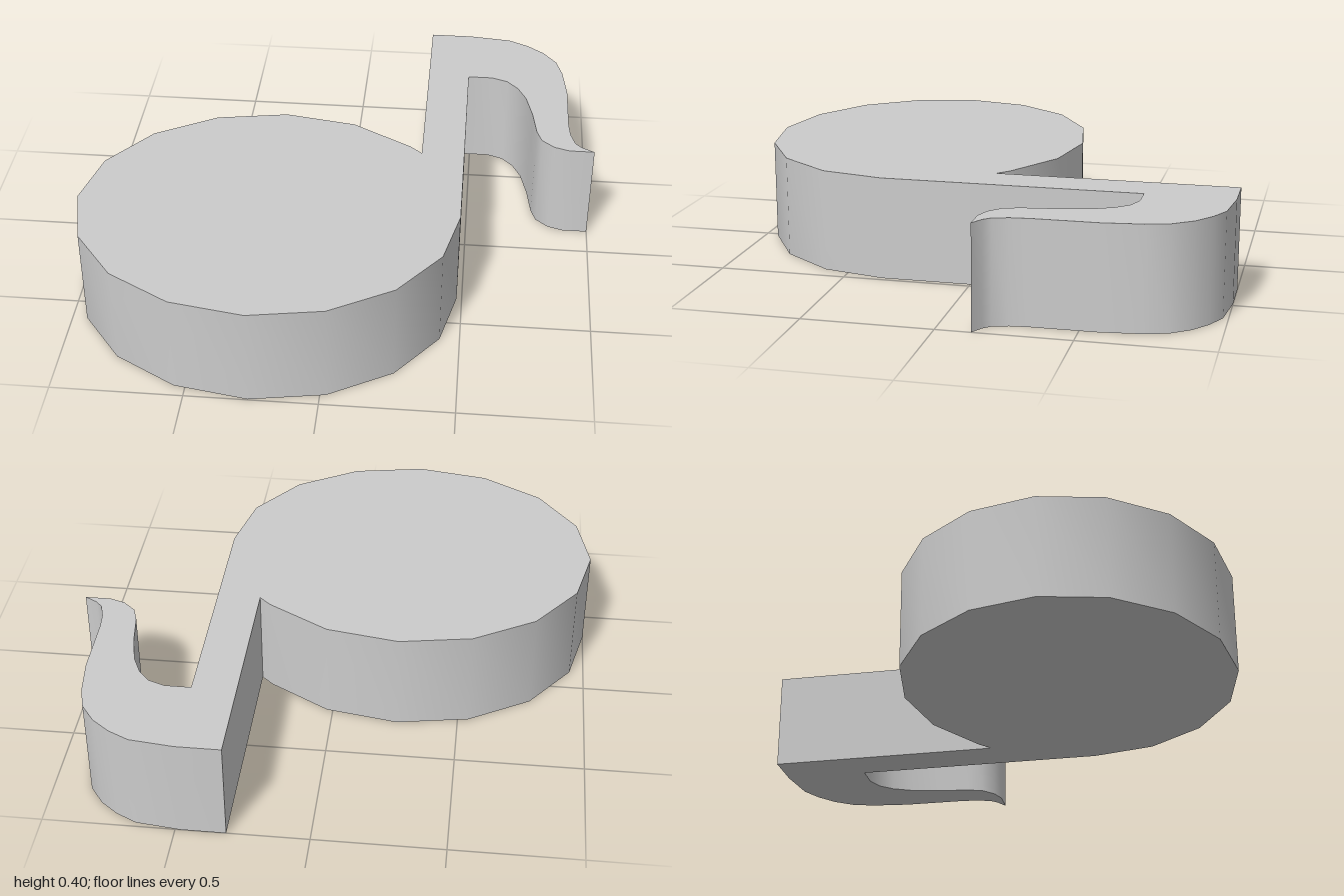
import * as THREE from 'three';
import { toCreasedNormals } from 'three/addons/utils/BufferGeometryUtils.js';

const HEIGHT = 0.4;

export function createModel() {
  const outline = []; // plan points as [x, z]

  // Round head: 16-sided ellipse, left open where the stem joins
  for (let k = 0; k <= 14; k++) {
    const a = (k / 16) * Math.PI * 2;
    outline.push([-0.26 + 0.74 * Math.cos(a), 0.35 + 0.647 * Math.sin(a)]);
  }

  // Outer edge of the stem and flag, down to the flag's tip
  outline.push(
    [0.31, -0.065], [0.31, -1], [0.48, -1], [0.65, -0.98], [0.73, -0.94],
    [0.8, -0.885], [0.855, -0.81], [0.88, -0.72], [0.898, -0.57], [0.9, -0.32],
    [0.907, -0.25], [0.925, -0.19], [0.95, -0.163], [1, -0.135]
  );

  // Inner edge of the flag, back to the stem
  outline.push(
    [0.9, -0.135], [0.84, -0.155], [0.79, -0.2], [0.77, -0.26], [0.752, -0.39],
    [0.725, -0.51], [0.69, -0.585], [0.645, -0.635], [0.58, -0.66], [0.48, -0.66]
  );

  // Extrude upwards, laying the plan flat on the ground
  const shape = new THREE.Shape(outline.map(([x, z]) => new THREE.Vector2(x, -z)));
  const geometry = new THREE.ExtrudeGeometry(shape, { depth: HEIGHT, bevelEnabled: false });
  geometry.rotateX(-Math.PI / 2);

  const note = new THREE.Mesh(
    toCreasedNormals(geometry, 0.75),
    new THREE.MeshStandardMaterial({ color: 0xcccccc })
  );
  note.name = 'musicalNote';

  const group = new THREE.Group();
  group.name = 'noteModel';
  group.add(note);
  return group;
}
